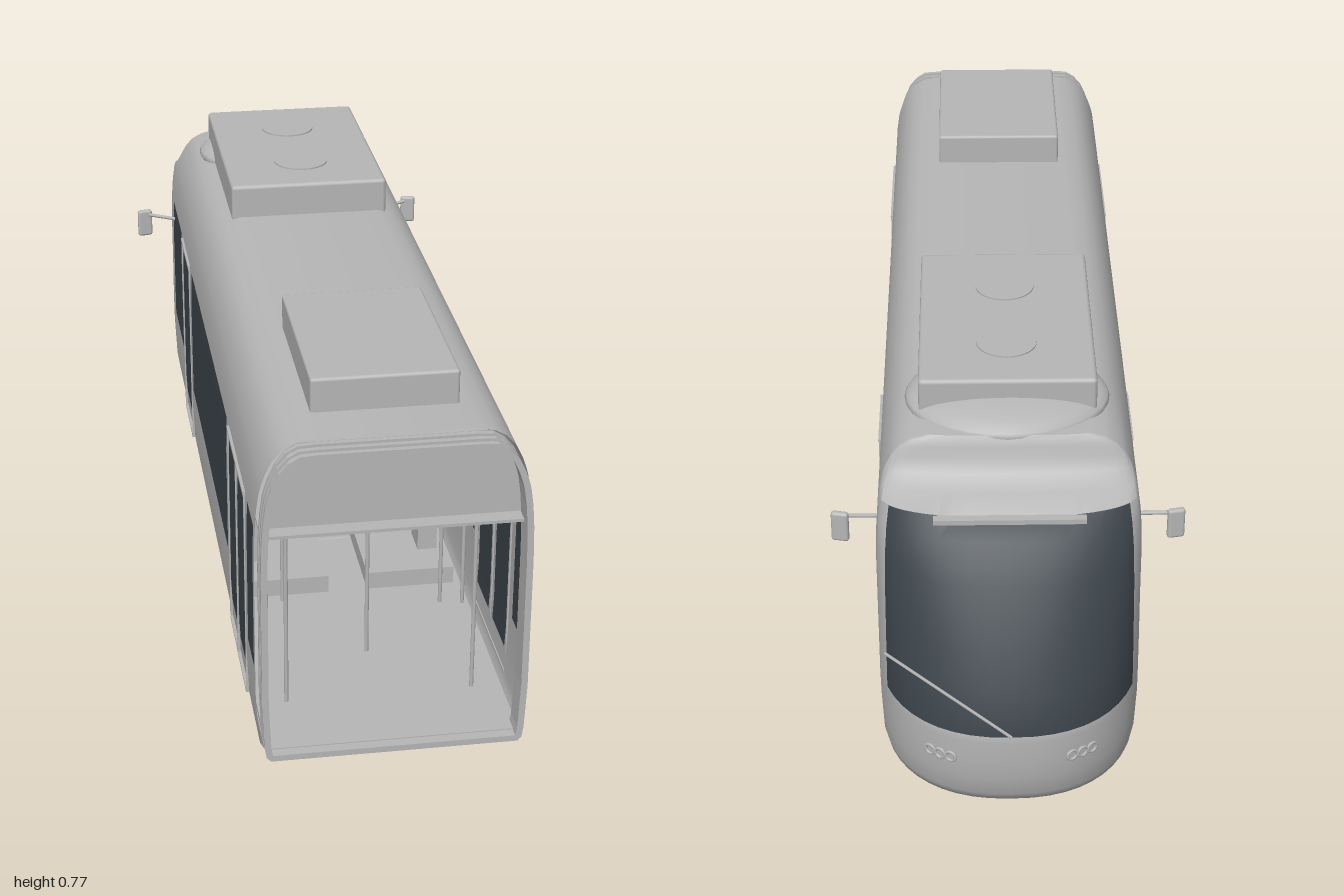
import * as THREE from 'three';
import { toCreasedNormals } from 'three/addons/utils/BufferGeometryUtils.js';
import { RoundedBoxGeometry } from 'three/addons/geometries/RoundedBoxGeometry.js';

const paint = new THREE.MeshStandardMaterial({ color: 0xb6b6b6, side: THREE.DoubleSide });
paint.name = 'greyPaint';
const glass = new THREE.MeshStandardMaterial({ color: 0x3b434a, side: THREE.DoubleSide });
glass.name = 'darkGlass';

// Body levels: height, half width, nose tip z, z where the nose starts to curve
const LEVELS = [
  [0.065, 0.235, -0.95, -0.7], [0.08, 0.243, -0.975, -0.71], [0.1, 0.246, -0.985, -0.72],
  [0.145, 0.248, -0.995, -0.72], [0.19, 0.25, -1, -0.72], [0.235, 0.25, -1, -0.72],
  [0.25, 0.25, -1, -0.72], [0.32, 0.25, -0.975, -0.72], [0.4, 0.25, -0.935, -0.72],
  [0.45, 0.25, -0.908, -0.72], [0.5, 0.249, -0.878, -0.72], [0.525, 0.248, -0.862, -0.72],
  [0.565, 0.245, -0.832, -0.72], [0.6, 0.24, -0.8, -0.72], [0.615, 0.236, -0.745, -0.7],
  [0.635, 0.229, -0.71, -0.68], [0.66, 0.217, -0.695, -0.675], [0.68, 0.2, -0.69, -0.675],
  [0.692, 0.18, -0.685, -0.672], [0.7, 0.15, -0.68, -0.671],
];
const SIDE_Z = [0.95, 0.93, 0.84, 0.795, 0.69, 0.655, 0.55, 0.5, -0.22, -0.27, -0.41, -0.46, -0.67];
// Window and door panes: z from, z to, y from, y to
const PANES = [
  [0.84, 0.93, 0.235, 0.525], [0.69, 0.795, 0.145, 0.5], [0.55, 0.655, 0.145, 0.5],
  [-0.22, 0.5, 0.235, 0.525], [-0.41, -0.27, 0.145, 0.5], [-0.67, -0.46, 0.235, 0.525],
];
const NOSE_ANGLES = [0, 0.21, 0.42, ...Array.from({ length: 9 }, (_, k) => 0.42 + (k + 1) * (Math.PI / 2 - 0.42) / 9)];
const POWER = 2 / 2.3;

function nosePoint(level, angle) {
  const [y, w, tip, start] = level;
  return [w * Math.max(0, Math.cos(angle)) ** POWER, y, start + (tip - start) * Math.sin(angle) ** POWER];
}

// One shell of stacked U-shaped outlines; panes are coloured as groups
function bodyGeometry() {
  const half = SIDE_Z.length + NOSE_ANGLES.length;
  const count = half * 2 - 1, mid = half - 1;
  const positions = [], solid = [], pane = [];
  for (const level of LEVELS) {
    const side = [...SIDE_Z.map(z => [level[1], level[0], z]), ...NOSE_ANGLES.map(a => nosePoint(level, a))];
    const mirrored = side.slice(0, -1).reverse().map(([x, y, z]) => [-x, y, z]);
    positions.push(...side.flat(), ...mirrored.flat());
  }
  const isPane = (i, j) => {
    const k = j < mid ? j : count - 2 - j;
    const y = (LEVELS[i][0] + LEVELS[i + 1][0]) / 2;
    if (k >= SIDE_Z.length + 2) return y > 0.25 && y < 0.6;
    if (k >= SIDE_Z.length - 1) return false;
    const z = (SIDE_Z[k] + SIDE_Z[k + 1]) / 2;
    return PANES.some(p => z > p[0] && z < p[1] && y > p[2] && y < p[3]);
  };
  for (let i = 0; i < LEVELS.length - 1; i++) {
    for (let j = 0; j < count - 1; j++) {
      const a = i * count + j, d = a + count;
      (isPane(i, j) ? pane : solid).push(a, a + 1, d + 1, a, d + 1, d);
    }
  }
  // Roof and underside
  const top = (LEVELS.length - 1) * count;
  for (let j = 0; j < mid; j++) {
    const a = j, b = j + 1, c = count - 2 - j, d = count - 1 - j;
    solid.push(top + a, top + b, top + d, a, d, b);
    if (b !== c) solid.push(top + b, top + c, top + d, b, d, c);
  }
  const geometry = new THREE.BufferGeometry();
  geometry.setAttribute('position', new THREE.Float32BufferAttribute(positions, 3));
  geometry.setIndex([...solid, ...pane]);
  geometry.addGroup(0, solid.length, 0);
  geometry.addGroup(solid.length, pane.length, 1);
  return toCreasedNormals(geometry, 0.6);
}

// Body cross-section drawn inset from the outer skin, starting at a given height
function section(inset, fromY = 0) {
  const pts = LEVELS.filter(l => l[0] >= fromY).map(([y, w]) =>
    new THREE.Vector2(w - inset, THREE.MathUtils.clamp(y, 0.065 + inset, 0.7 - inset)));
  return [...pts, ...pts.slice().reverse().map(p => new THREE.Vector2(-p.x, p.y))];
}

export function createModel() {
  const tram = new THREE.Group();
  tram.name = 'tramCar';
  const add = (name, geometry, x = 0, y = 0, z = 0, material = paint) => {
    const mesh = new THREE.Mesh(geometry, material);
    mesh.name = name;
    mesh.position.set(x, y, z);
    tram.add(mesh);
    return mesh;
  };
  const box = (name, x0, x1, y0, y1, z0, z1, material) => add(name,
    new THREE.BoxGeometry(Math.abs(x1 - x0), y1 - y0, z1 - z0), (x0 + x1) / 2, (y0 + y1) / 2, (z0 + z1) / 2, material);
  const rod = (name, from, to, radius) => {
    const a = new THREE.Vector3(...from), b = new THREE.Vector3(...to), dir = b.clone().sub(a);
    const mesh = add(name, new THREE.CylinderGeometry(radius, radius, dir.length(), 8));
    mesh.position.copy(a).add(b).multiplyScalar(0.5);
    mesh.quaternion.setFromUnitVectors(new THREE.Vector3(0, 1, 0), dir.normalize());
    return mesh;
  };
  const across = (name, radius, length, x, y, z, sides = 24) => {
    add(name, new THREE.CylinderGeometry(radius, radius, length, sides), x, y, z).rotation.z = Math.PI / 2;
  };

  add('bodyShell', bodyGeometry()).material = [paint, glass];

  // Gangway ribs around the open end
  for (let k = 0; k < 5; k++) {
    const shape = new THREE.Shape(section(k % 2 ? 0.012 : 0.006));
    shape.holes.push(new THREE.Path(section(0.018)));
    add('gangwayRib', new THREE.ExtrudeGeometry(shape, { depth: 0.01, bevelEnabled: false }), 0, 0, 0.95 + k * 0.01);
  }

  // Saloon floor, ceiling, header above the opening and cab partition
  box('floor', -0.235, 0.235, 0.075, 0.085, -0.65, 0.98);
  box('ceiling', -0.24, 0.24, 0.52, 0.526, -0.5, 0.975);
  add('endHeader', new THREE.ShapeGeometry(new THREE.Shape(section(0.008, 0.525))), 0, 0, 0.945);
  box('cabPartition', -0.243, 0.243, 0.085, 0.52, -0.445, -0.435);

  // Seats over the wheel housings, and grab poles
  for (const s of [-1, 1]) {
    box('seatPlinth', s * 0.04, s * 0.22, 0.085, 0.122, -0.15, 0.45);
    for (const z of [0.4, -0.06]) {
      box('seatBack', s * 0.045, s * 0.23, 0.2, 0.35, z - 0.01, z + 0.01);
      box('seatCushion', s * 0.045, s * 0.23, 0.19, 0.21, z - 0.12, z);
      box('seatFoot', s * 0.16, s * 0.2, 0.12, 0.19, z - 0.1, z - 0.03);
    }
    for (const z of [0.52, 0.83]) rod('grabPole', [s * 0.178, 0.085, z], [s * 0.178, 0.52, z], 0.004);
    rod('doorPole', [s * 0.222, 0.085, 0.53], [s * 0.222, 0.52, 0.53], 0.004);
  }
  rod('centrePole', [0, 0.085, 0.68], [0, 0.52, 0.68], 0.004);

  // Ticket machine and hanging display
  rod('machinePole', [-0.138, 0.085, 0.47], [-0.138, 0.36, 0.47], 0.004);
  box('ticketMachine', -0.17, -0.065, 0.35, 0.42, 0.455, 0.485);
  box('machineScreen', -0.17, -0.065, 0.35, 0.42, 0.485, 0.488, glass);
  box('displayCase', -0.065, 0.065, 0.455, 0.52, 0.28, 0.31);
  box('displayScreen', -0.06, 0.06, 0.459, 0.499, 0.31, 0.313, glass);

  // Roof equipment
  add('rearRoofUnit', new RoundedBoxGeometry(0.27, 0.075, 0.38, 2, 0.006), 0, 0.7275, 0.66);
  add('mainRoofUnit', new RoundedBoxGeometry(0.335, 0.08, 0.5, 2, 0.008), 0, 0.73, -0.35);
  const fairing = add('roofFairing', new THREE.SphereGeometry(1, 32, 16), 0, 0.695, -0.53);
  fairing.scale.set(0.195, 0.042, 0.155);
  for (const z of [-0.46, -0.24]) add('roofFan', new THREE.CylinderGeometry(0.058, 0.058, 0.004, 32), 0, 0.771, z);

  for (const s of [-1, 1]) {
    // Door rails, seals and sills
    for (const [z0, z1] of [[0.54, 0.81], [-0.425, -0.255]]) {
      box('doorRail', s * 0.247, s * 0.253, 0.522, 0.528, z0, z1);
      box('doorSill', s * 0.244, s * 0.252, 0.098, 0.103, z0, z1);
      for (const z of [z0, z1]) box('doorSeal', s * 0.247, s * 0.252, 0.1, 0.525, z - 0.002, z + 0.002);
    }
    box('doorSeal', s * 0.247, s * 0.252, 0.1, 0.525, 0.67, 0.675);

    // Wing mirrors
    rod('mirrorArm', [s * 0.245, 0.492, -0.635], [s * 0.31, 0.502, -0.648], 0.004);
    add('mirror', new RoundedBoxGeometry(0.034, 0.064, 0.014, 3, 0.006), s * 0.32, 0.481, -0.652).rotation.y = s * -0.2;

    // Headlamp cluster
    for (const a of [0.98, 1.07, 1.16]) {
      const [x, y, z] = nosePoint(LEVELS[4], a);
      const lamp = add('headlamp', new THREE.TorusGeometry(0.01, 0.003, 8, 16), s * x, y, z);
      lamp.lookAt(s * x * 2.2, y, z - 0.25);
    }

    // Running gear
    for (const z of [0.355, -0.025]) {
      across('wheel', 0.053, 0.018, s * 0.162, 0.06, z, 32);
      across('wheelFlange', 0.06, 0.006, s * 0.15, 0.06, z, 32);
      across('axleBox', 0.018, 0.05, s * 0.175, 0.06, z);
    }
    for (const z of [0.26, 0.07]) across('brakeDisc', 0.025, 0.01, s * 0.1, 0.052, z);
    box('bogieBar', s * 0.176, s * 0.19, 0.05, 0.066, -0.03, 0.36);
  }
  for (const z of [0.355, -0.025]) across('axle', 0.008, 0.32, 0, 0.06, z, 12);
  for (const z of [0.23, 0.1]) across('motor', 0.024, 0.15, -0.015, 0.062, z);

  // Windscreen light bar and wiper
  box('lightBar', -0.14, 0.14, 0.592, 0.602, -0.812, -0.795);
  rod('wiper', [0, 0.25, -1], [0.23, 0.41, -0.95], 0.003);

  return tram;
}
